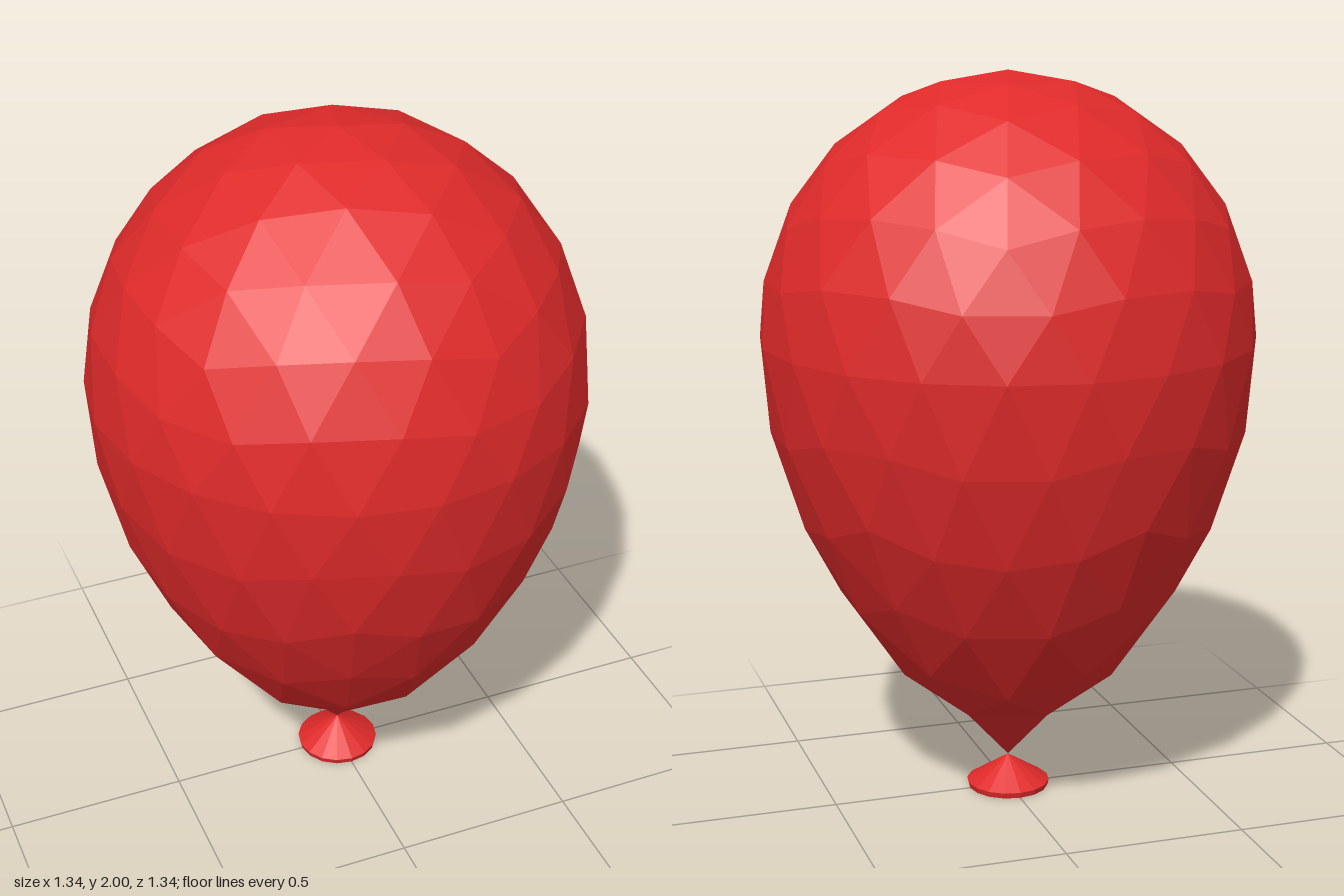
import * as THREE from 'three';

const RADIUS = 0.67, WIDEST = 1.29;

// Sphere height (-1..1) to model height: round crown, long tapering underside
const HEIGHTS = [
  [-1, 0.09], [-0.962, 0.26], [-0.851, 0.42], [-0.674, 0.645],
  [-0.447, 0.88], [-0.19, 1.13], [0, WIDEST], [1, 2],
];

function mapHeight(h) {
  let i = 1;
  while (i < HEIGHTS.length - 1 && h > HEIGHTS[i][0]) i++;
  const [h0, y0] = HEIGHTS[i - 1], [h1, y1] = HEIGHTS[i];
  return THREE.MathUtils.mapLinear(h, h0, h1, y0, y1);
}

// Icosahedron with a corner at each pole, as a list of triangles
function poleIcosahedron() {
  const ring = (y, turn) => Array.from({ length: 5 }, (_, i) => {
    const a = (i + turn) * Math.PI * 0.4, r = 2 / Math.sqrt(5);
    return new THREE.Vector3(r * Math.cos(a), y, r * Math.sin(a));
  });
  const top = new THREE.Vector3(0, 1, 0), bottom = new THREE.Vector3(0, -1, 0);
  const u = ring(1 / Math.sqrt(5), 0), l = ring(-1 / Math.sqrt(5), 0.5);
  const faces = [];
  for (let i = 0; i < 5; i++) {
    const j = (i + 1) % 5;
    faces.push([top, u[j], u[i]], [u[i], u[j], l[i]], [l[j], l[i], u[j]], [bottom, l[i], l[j]]);
  }
  return faces;
}

// Split each triangle into four and push the new corners out to the sphere
function subdivide(faces) {
  const mid = (p, q) => p.clone().add(q).normalize();
  return faces.flatMap(([a, b, c]) => {
    const ab = mid(a, b), bc = mid(b, c), ca = mid(c, a);
    return [[a, ab, ca], [ab, b, bc], [ca, bc, c], [ab, bc, ca]];
  });
}

function balloonGeometry() {
  const faces = subdivide(subdivide(poleIcosahedron()));
  const points = faces.flat().map((p) =>
    new THREE.Vector3(p.x * RADIUS, mapHeight(p.y), p.z * RADIUS));
  const geometry = new THREE.BufferGeometry().setFromPoints(points);
  geometry.computeVertexNormals();
  return geometry;
}

export function createModel() {
  const group = new THREE.Group();
  group.name = 'balloon';
  const rubber = new THREE.MeshStandardMaterial({ color: 0xe02a2a, flatShading: true });

  // Faceted teardrop body
  const body = new THREE.Mesh(balloonGeometry(), rubber);
  body.name = 'body';

  // Flared neck, hollow underneath, with a thin rim
  const profile = [[0, 0.075], [0.112, 0], [0.116, 0.016], [0, 0.09]]
    .map(([x, y]) => new THREE.Vector2(x, y));
  const neck = new THREE.Mesh(new THREE.LatheGeometry(profile, 16), rubber);
  neck.name = 'neck';

  group.add(body, neck);
  return group;
}
